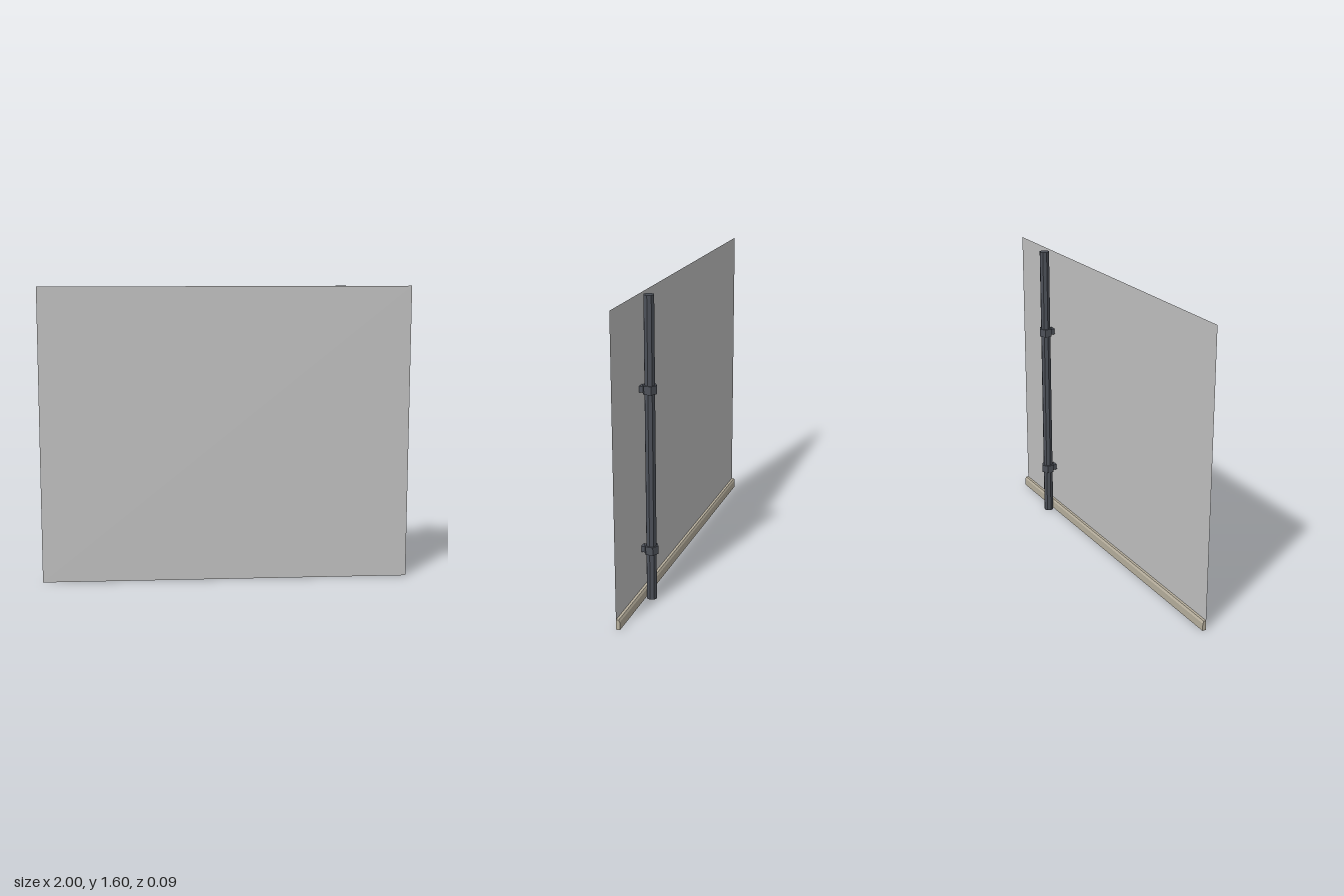
import * as THREE from 'three';

export function createModel() {
  const model = new THREE.Group();
  model.name = 'wallSection';

  const mat = (name, color, extra = {}) =>
    new THREE.MeshStandardMaterial({ name, color, ...extra });
  const wallGrey = mat('wallGrey', 0xc2c2c2, { side: THREE.DoubleSide });
  const trimBeige = mat('trimBeige', 0xb8b09e, { flatShading: true });
  const pipeGrey = mat('pipeGrey', 0x4c5058, { flatShading: true });

  const add = (name, geometry, material, x, y, z, parent = model) => {
    const mesh = new THREE.Mesh(geometry, material);
    mesh.name = name;
    mesh.position.set(x, y, z);
    parent.add(mesh);
    return mesh;
  };

  // Thin wall sheet
  add('wallPanel', new THREE.PlaneGeometry(2, 1.6), wallGrey, 0, 0.8, 0.044);

  // Skirting board, a chamfered profile drawn in (-z, y) and run along x
  const profile = new THREE.Shape([
    [-0.0435, 0], [-0.024, 0], [-0.024, 0.042], [-0.03, 0.054], [-0.0435, 0.054],
  ].map(([x, y]) => new THREE.Vector2(x, y)));
  const skirting = new THREE.ExtrudeGeometry(profile, { depth: 2, bevelEnabled: false });
  skirting.rotateY(Math.PI / 2);
  add('skirtingBoard', skirting, trimBeige, -1, 0, 0);

  // Upright pipe
  const pipeX = 0.622, pipeZ = -0.005;
  add('pipe', new THREE.CylinderGeometry(0.0275, 0.0275, 1.6, 8), pipeGrey, pipeX, 0.8, pipeZ);

  // Hexagonal collars, each with a block fixing it to the wall
  for (const y of [0.275, 1.128]) {
    const bracket = new THREE.Group();
    bracket.name = 'pipeBracket';
    bracket.position.set(pipeX, y, pipeZ);
    model.add(bracket);
    add('collar', new THREE.CylinderGeometry(0.038, 0.038, 0.044, 6), pipeGrey, 0, 0, 0, bracket);
    add('wallMount', new THREE.BoxGeometry(0.037, 0.032, 0.03), pipeGrey, 0, 0, 0.0335, bracket);
  }

  return model;
}
